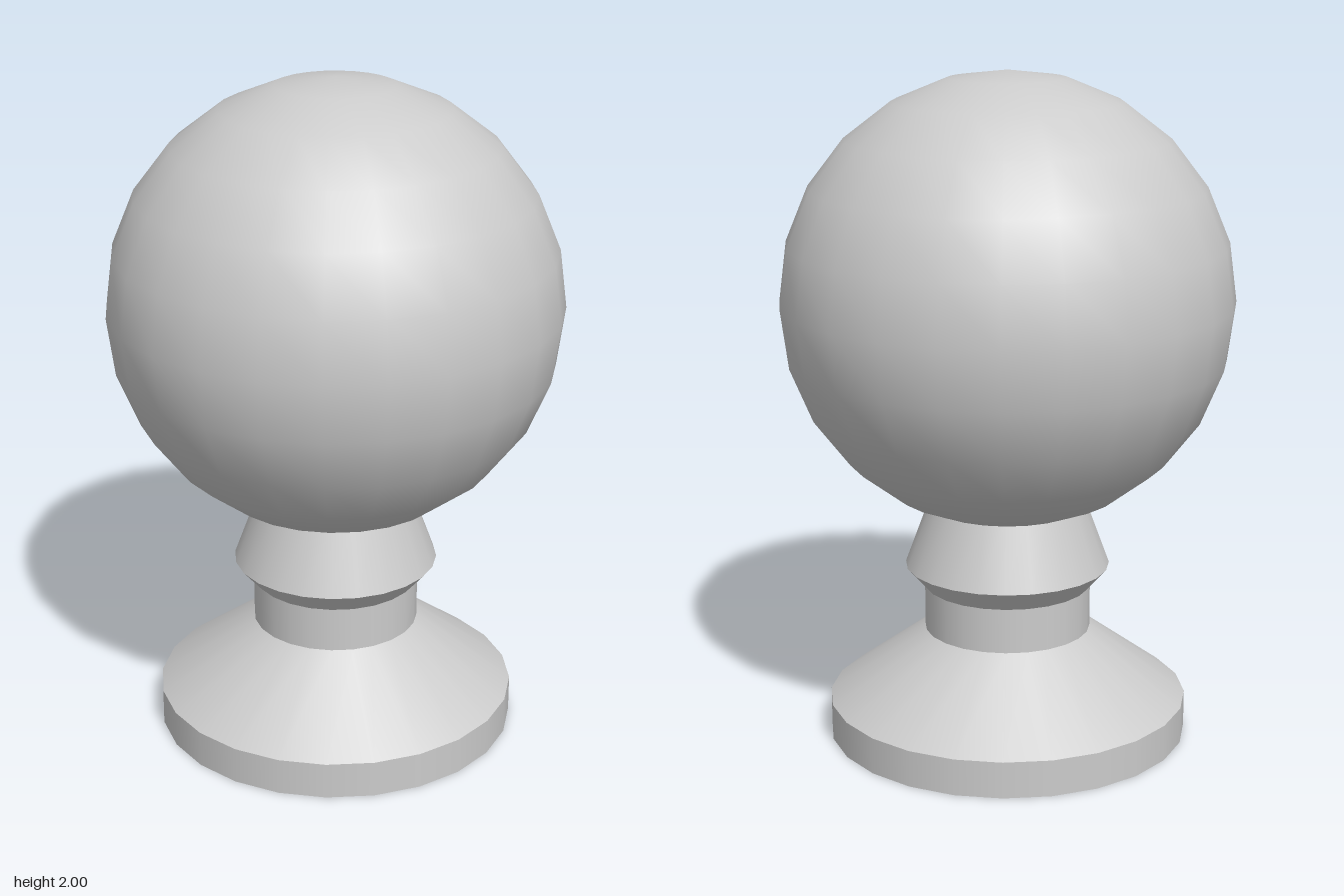
import * as THREE from 'three';

const SIDES = 24;

export function createModel() {
  const group = new THREE.Group();
  group.name = 'ballFinial';
  const material = new THREE.MeshStandardMaterial({ color: 0xcccccc });

  const add = (name, geometry, y) => {
    const mesh = new THREE.Mesh(geometry, material);
    mesh.name = name;
    mesh.position.y = y;
    group.add(mesh);
  };

  // Turned pedestal, stacked from open rings: name, bottom radius, top radius, bottom y, top y
  const rings = [
    ['basePlinth', 0.542, 0.542, 0, 0.11],
    ['baseSlope', 0.542, 0.25, 0.11, 0.325],
    ['neck', 0.25, 0.25, 0.325, 0.46],
    ['collarFlare', 0.25, 0.307, 0.46, 0.525],
    ['collarTaper', 0.307, 0.237, 0.525, 0.715],
  ];
  for (const [name, r0, r1, y0, y1] of rings) {
    add(name, new THREE.CylinderGeometry(r1, r0, y1 - y0, SIDES, 1, true), (y0 + y1) / 2);
  }

  // Flat underside, with corners matching the plinth
  const underside = new THREE.CircleGeometry(0.542, SIDES);
  underside.rotateX(Math.PI / 2);
  add('underside', underside, 0);

  // Ball resting in the collar
  add('ball', new THREE.SphereGeometry(0.669, SIDES, SIDES / 2), 1.331);

  return group;
}
